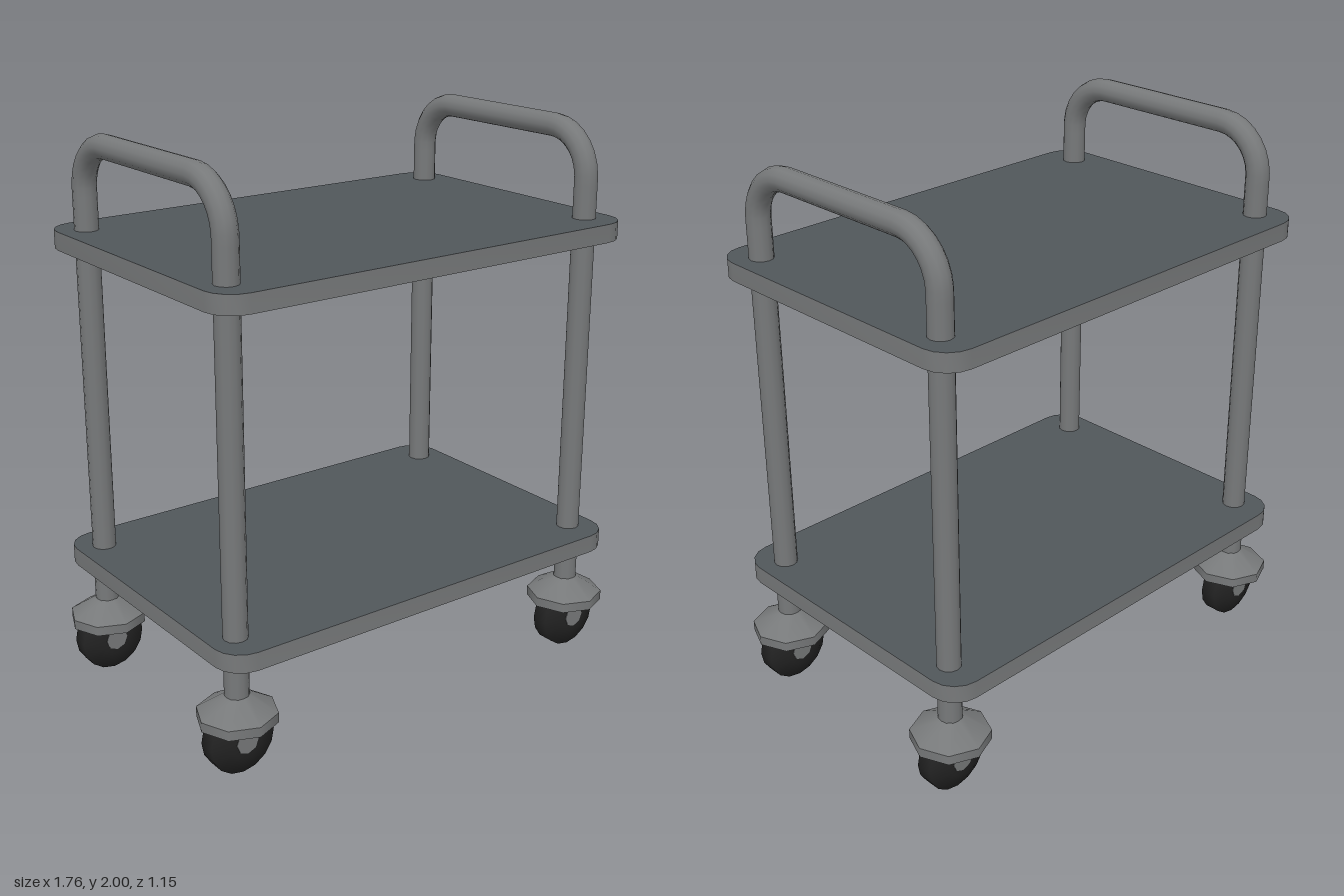
import * as THREE from 'three';
import { toCreasedNormals } from 'three/addons/utils/BufferGeometryUtils.js';

const POST_X = 0.74, POST_Z = 0.437, TUBE_R = 0.042;

export function createModel() {
  const group = new THREE.Group();
  const material = (name, color) => {
    const m = new THREE.MeshStandardMaterial({ color });
    m.name = name;
    return m;
  };
  const metal = material('grey metal', 0x77797a);
  const shelfGrey = material('dark shelf grey', 0x50565a);
  const rubber = material('black rubber', 0x222222);

  const add = (parent, name, geometry, mat, x = 0, y = 0, z = 0) => {
    const mesh = new THREE.Mesh(geometry, mat);
    mesh.name = name;
    mesh.position.set(x, y, z);
    parent.add(mesh);
    return mesh;
  };

  // Shelves: rounded slabs with dark faces and a metal rim
  const w = 0.837, d = 0.565, r = 0.1;
  const outline = new THREE.Shape();
  outline.absarc(w - r, d - r, r, 0, Math.PI / 2);
  outline.absarc(r - w, d - r, r, Math.PI / 2, Math.PI);
  outline.absarc(r - w, r - d, r, Math.PI, Math.PI * 1.5);
  outline.absarc(w - r, r - d, r, Math.PI * 1.5, Math.PI * 2);
  const slab = toCreasedNormals(new THREE.ExtrudeGeometry(outline, {
    depth: 0.065, bevelEnabled: false, curveSegments: 2,
  }).rotateX(-Math.PI / 2), 0.9);
  add(group, 'lowerShelf', slab, [shelfGrey, metal], 0, 0.42, 0);
  add(group, 'upperShelf', slab, [shelfGrey, metal], 0, 1.59, 0);

  // Side frames: two posts joined by a bent handle
  const bend = 0.165, top = 2 - TUBE_R;
  const v = (y, z) => new THREE.Vector3(0, y, z);
  const path = new THREE.CurvePath();
  path.add(new THREE.LineCurve3(v(0.25, POST_Z), v(top - bend, POST_Z)));
  const k = bend * 0.4477; // control point offset for a circular bend
  path.add(new THREE.CubicBezierCurve3(v(top - bend, POST_Z), v(top - k, POST_Z),
    v(top, POST_Z - k), v(top, POST_Z - bend)));
  path.add(new THREE.LineCurve3(v(top, POST_Z - bend), v(top, bend - POST_Z)));
  path.add(new THREE.CubicBezierCurve3(v(top, bend - POST_Z), v(top, k - POST_Z),
    v(top - k, -POST_Z), v(top - bend, -POST_Z)));
  path.add(new THREE.LineCurve3(v(top - bend, -POST_Z), v(0.25, -POST_Z)));
  const frame = new THREE.TubeGeometry(path, 120, TUBE_R, 12);

  // Caster parts: eight-sided cap, bulging wheel and hub
  const skirt = new THREE.CylinderGeometry(0.138, 0.138, 0.035, 8);
  const cone = new THREE.CylinderGeometry(TUBE_R, 0.138, 0.06, 8, 1, true);
  const tyre = new THREE.LatheGeometry([
    [0, -0.058], [0.055, -0.058], [0.122, -0.03], [0.122, 0.03], [0.055, 0.058], [0, 0.058],
  ].map(([x, y]) => new THREE.Vector2(x, y)), 16).rotateX(Math.PI / 2);
  const axle = new THREE.CylinderGeometry(0.042, 0.042, 0.12, 8).rotateX(Math.PI / 2);

  for (const x of [-POST_X, POST_X]) {
    add(group, x > 0 ? 'leftFrame' : 'rightFrame', frame, metal, x);
    for (const z of [-POST_Z, POST_Z]) {
      const caster = new THREE.Group();
      caster.name = (z > 0 ? 'front' : 'back') + (x > 0 ? 'Left' : 'Right') + 'Caster';
      caster.position.set(x, 0, z);
      add(caster, 'capSkirt', skirt, metal, 0, 0.202, 0);
      add(caster, 'capCone', cone, metal, 0, 0.249, 0);
      add(caster, 'wheel', tyre, rubber, 0, 0.122, 0);
      add(caster, 'wheelHub', axle, metal, 0, 0.126, 0);
      group.add(caster);
    }
  }
  return group;
}
